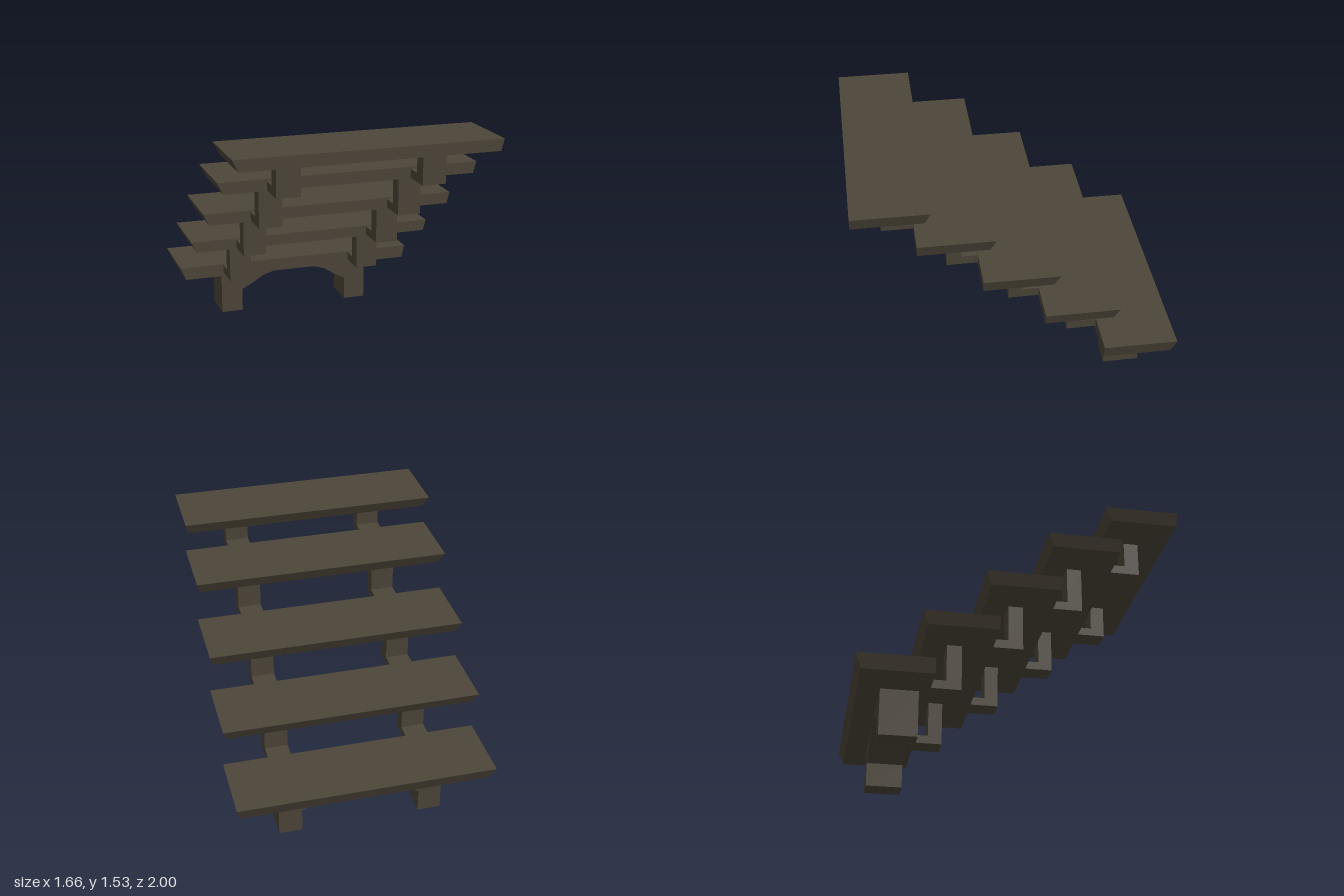
import * as THREE from 'three';

const material = new THREE.MeshStandardMaterial({ color: 0x4d4639, flatShading: true });

function addMesh(parent, geometry, name) {
  const mesh = new THREE.Mesh(geometry, material);
  mesh.name = name;
  parent.add(mesh);
  return mesh;
}

// Box given by its lower and upper limits on each axis
function boxBetween(x0, x1, y0, y1, z0, z1) {
  return new THREE.BoxGeometry(x1 - x0, y1 - y0, z1 - z0)
    .translate((x0 + x1) / 2, (y0 + y1) / 2, (z0 + z1) / 2);
}

// Plank whose underside is cut back at both ends and along the rear edge
function treadGeometry({ bottom, top, front, back }) {
  const geometry = boxBetween(-0.83, 0.83, bottom, top, back, front);
  const p = geometry.attributes.position;
  const middle = (bottom + top) / 2;
  for (let i = 0; i < p.count; i++) {
    if (p.getY(i) > middle) continue;
    p.setX(i, p.getX(i) < 0 ? -0.795 : 0.81);
    if (p.getZ(i) < (front + back) / 2) p.setZ(i, back + 0.035);
  }
  geometry.computeVertexNormals();
  return geometry;
}

// Side profile (in z, y) extruded across x
function extrudeAcross(points, x0, x1) {
  const shape = new THREE.Shape(points.map(([z, y]) => new THREE.Vector2(-z, y)));
  return new THREE.ExtrudeGeometry(shape, { depth: x1 - x0, bevelEnabled: false })
    .rotateY(Math.PI / 2)
    .translate(x0, 0, 0);
}

export function createModel() {
  const group = new THREE.Group();
  group.name = 'openStaircase';

  const treads = [
    { bottom: 0.295, top: 0.382, back: -1.0, front: -0.53 },
    { bottom: 0.617, top: 0.69, back: -0.615, front: -0.147 },
    { bottom: 0.92, top: 0.995, back: -0.232, front: 0.237 },
    { bottom: 1.226, top: 1.3, back: 0.157, front: 0.625 },
    { bottom: 1.456, top: 1.53, back: 0.535, front: 1.0 },
  ];
  const supports = [[-0.527, -0.377], [0.39, 0.54]];

  treads.forEach((tread, i) => {
    addMesh(group, treadGeometry(tread), `tread${i + 1}`);
    if (i === 0) return;

    // L-shaped brackets from the tread below up to this one
    const below = treads[i - 1];
    const postFront = below.front + 0.193;
    const postBack = postFront - 0.094;
    const foot = [0, 0.322, 0.627, 0.93, 1.23][i];
    const profile = [
      [below.front, foot], [postFront, foot], [postFront, tread.bottom],
      [postBack, tread.bottom], [postBack, foot + 0.056], [below.front, foot + 0.056],
    ];
    supports.forEach(([x0, x1], side) => {
      addMesh(group, extrudeAcross(profile, x0, x1), `${side ? 'left' : 'right'}Bracket${i}`);
    });
  });

  // Two legs joined by a faceted arch under the lowest tread
  const outline = [
    [-0.527, 0], [-0.377, 0], [-0.377, 0.157], [-0.3, 0.197], [-0.22, 0.248], [-0.07, 0.293],
    [0.083, 0.293], [0.235, 0.248], [0.313, 0.197], [0.39, 0.157], [0.39, 0], [0.54, 0],
    [0.54, 0.295], [-0.527, 0.295],
  ];
  const baseShape = new THREE.Shape(outline.map(([x, y]) => new THREE.Vector2(x, y)));
  const base = new THREE.ExtrudeGeometry(baseShape, { depth: 0.235, bevelEnabled: false });
  addMesh(group, base.translate(0, 0, -0.83), 'archedBase');

  return group;
}
